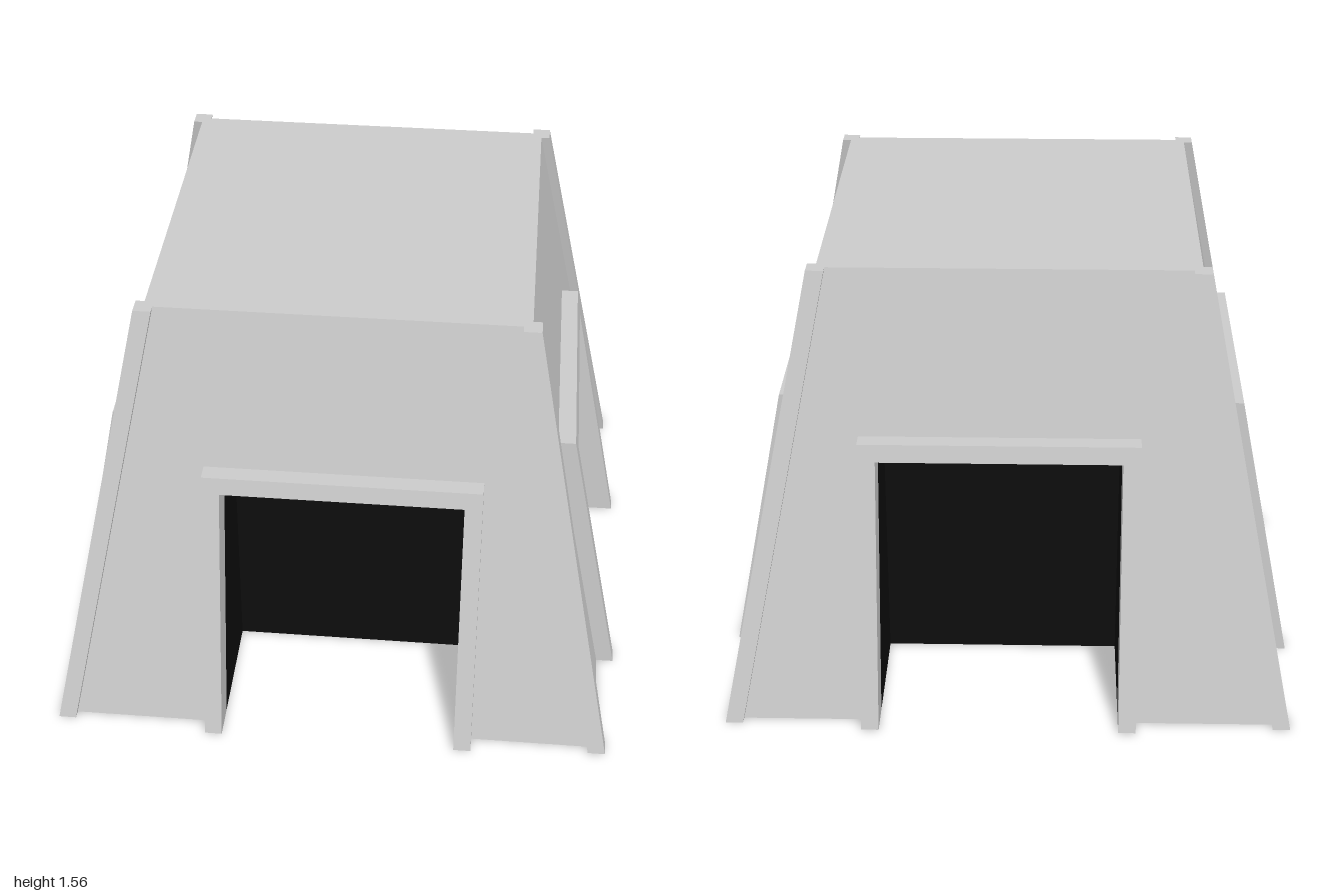
import * as THREE from 'three';

const H = 1.56, BASE = 0.94, TOP = 0.63;
const DOOR_W = 0.41, DOOR_H = 0.94, RIM = 0.06, BACK = 0.47;

// half-width of the sloping body at height y
const wallAt = (y) => BASE + (TOP - BASE) * y / H;

const grey = new THREE.MeshStandardMaterial({ color: 0xcccccc, flatShading: true });
const greyThin = new THREE.MeshStandardMaterial({ color: 0xcccccc, flatShading: true, side: THREE.DoubleSide });
const black = new THREE.MeshStandardMaterial({ color: 0x0d0d0d, flatShading: true, side: THREE.DoubleSide });

function mesh(name, geometry, material) {
  const m = new THREE.Mesh(geometry, material);
  m.name = name;
  return m;
}

// move every vertex by a rule
function bend(geometry, rule) {
  const p = geometry.attributes.position;
  const v = new THREE.Vector3();
  for (let i = 0; i < p.count; i++) {
    v.fromBufferAttribute(p, i);
    rule(v);
    p.setXYZ(i, v.x, v.y, v.z);
  }
  geometry.computeVertexNormals();
  return geometry;
}

const outline = (points) => new THREE.Shape(points.map(([x, y]) => new THREE.Vector2(x, y)));
const lean = (v) => { v.z += wallAt(v.y); };

// one side: sloping wall, door frame and dark recess, facing +z
function makeSide(name, c) {
  const side = new THREE.Group();
  side.name = name;

  const w = DOOR_W + RIM / 2, h = DOOR_H + RIM / 2;
  const wall = outline([
    [-BASE, 0], [c - w, 0], [c - w, h], [c + w, h], [c + w, 0],
    [BASE, 0], [TOP, H], [-TOP, H],
  ]);
  side.add(mesh('wall', bend(new THREE.ShapeGeometry(wall), lean), greyThin));

  const a = DOOR_W, b = DOOR_W + RIM;
  const rim = outline([
    [c - b, 0], [c - a, 0], [c - a, DOOR_H], [c + a, DOOR_H],
    [c + a, 0], [c + b, 0], [c + b, DOOR_H + RIM], [c - b, DOOR_H + RIM],
  ]);
  const frame = new THREE.ExtrudeGeometry(rim, { depth: 2 * RIM, bevelEnabled: false });
  frame.translate(0, 0, -RIM);
  side.add(mesh('doorFrame', bend(frame, lean), grey));

  // box lining without its floor and front
  const lining = new THREE.BoxGeometry(2 * DOOR_W, DOOR_H, 1);
  const index = Array.from(lining.index.array);
  lining.setIndex([...index.slice(0, 18), ...index.slice(30)]);
  bend(lining, (v) => {
    v.x += c;
    v.y += DOOR_H / 2;
    v.z = v.z > 0 ? wallAt(v.y) - RIM : BACK;
  });
  side.add(mesh('recess', lining, black));
  return side;
}

export function createModel() {
  const model = new THREE.Group();
  model.name = 'shelter';

  // door offsets along each side
  const sides = [['front', 0.03], ['left', -0.03], ['back', -0.03], ['right', 0]];
  const floor = [];
  sides.forEach(([name, c], i) => {
    const angle = i * Math.PI / 2;
    const side = makeSide(name + 'Side', c);
    side.rotation.y = angle;
    model.add(side);

    // underside outline, notched at each doorway
    const notch = [[-BASE, BASE], [c - DOOR_W, BASE], [c - DOOR_W, BACK], [c + DOOR_W, BACK], [c + DOOR_W, BASE]];
    for (const [x, z] of notch) {
      const p = new THREE.Vector3(x, 0, z).applyAxisAngle(THREE.Object3D.DEFAULT_UP, angle);
      floor.push([p.x, -p.z]);
    }
  });
  const underside = new THREE.ShapeGeometry(outline(floor));
  underside.rotateX(-Math.PI / 2);
  model.add(mesh('underside', underside, greyThin));

  const roof = new THREE.PlaneGeometry(2 * TOP, 2 * TOP);
  roof.rotateX(-Math.PI / 2).translate(0, H, 0);
  model.add(mesh('roof', roof, greyThin));

  // square posts leaning along the corners
  for (const sx of [-1, 1]) {
    for (const sz of [-1, 1]) {
      const post = bend(new THREE.BoxGeometry(0.06, H, 0.06), (v) => {
        v.y += H / 2;
        v.x += sx * wallAt(v.y);
        v.z += sz * wallAt(v.y);
      });
      model.add(mesh('cornerPost', post, grey));
    }
  }
  return model;
}
